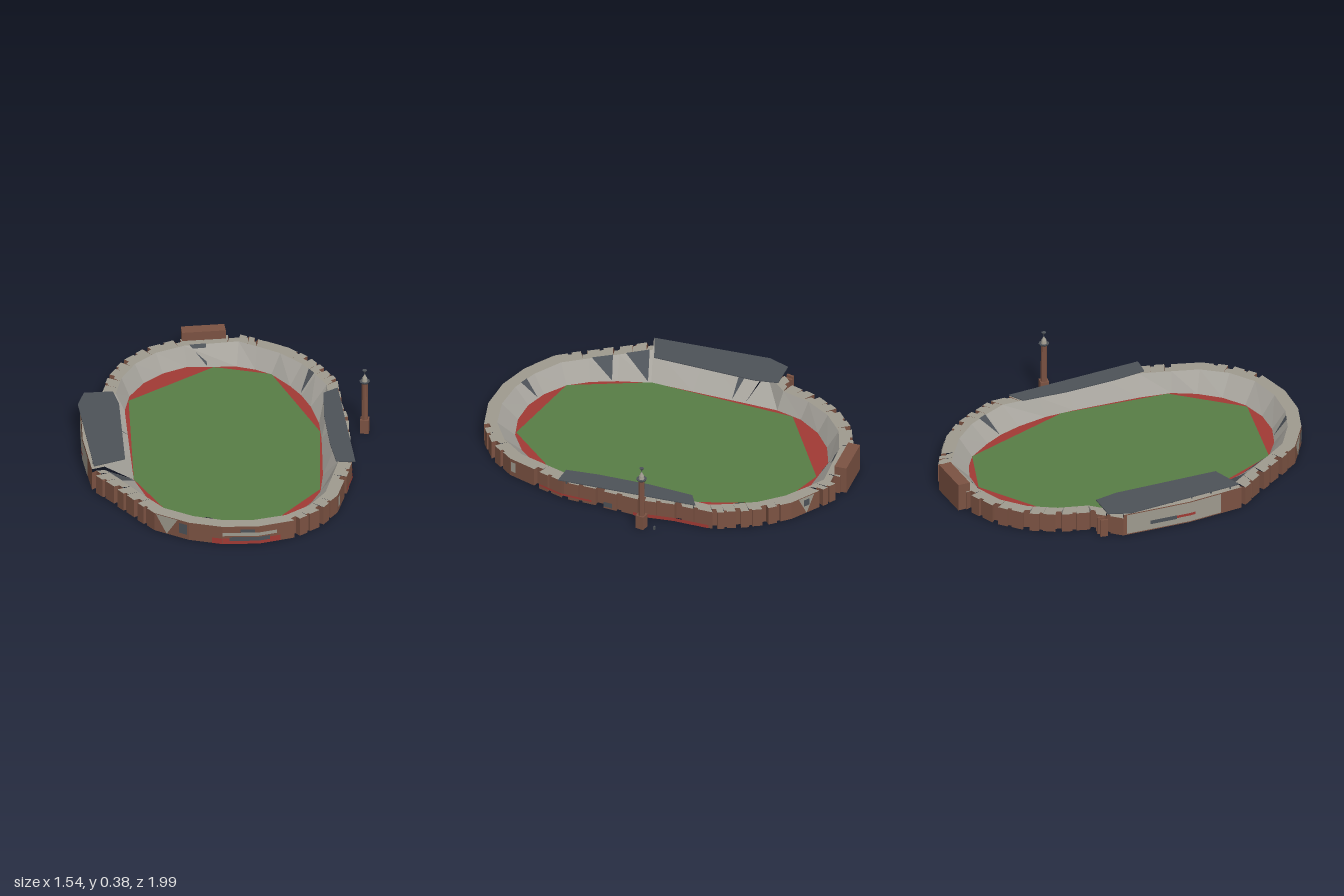
import * as THREE from 'three';

const mat = (name, color) => new THREE.MeshStandardMaterial({ name, color, flatShading: true, side: THREE.DoubleSide });

// matching points around the bowl, clockwise from the back: outer wall and track edge
const OUTER = [[0, -.98], [.1, -.94], [.27, -.87], [.4, -.77], [.49, -.66], [.56, -.56], [.6, -.35], [.66, -.16],
  [.69, .08], [.72, .27], [.7, .45], [.68, .61], [.6, .77], [.48, .89], [.3, .97], [.11, .995], [-.07, .97], [-.26, .89],
  [-.38, .77], [-.5, .64], [-.63, .51], [-.71, .21], [-.76, -.16], [-.66, -.32], [-.64, -.5], [-.58, -.66], [-.47, -.8], [-.31, -.9]];
const TRACK = [[0, -.81], [.1, -.79], [.19, -.75], [.3, -.64], [.37, -.55], [.43, -.44], [.49, -.28], [.52, -.12],
  [.545, .08], [.565, .25], [.57, .42], [.53, .55], [.46, .67], [.36, .77], [.23, .83], [.09, .85], [-.04, .83], [-.17, .77],
  [-.26, .68], [-.34, .56], [-.42, .4], [-.46, .17], [-.51, -.12], [-.54, -.3], [-.53, -.45], [-.47, -.59], [-.38, -.7], [-.26, -.78]];
const PITCH = [[-.12, -.79], [.19, -.75], [.505, -.19], [.565, .4], [.34, .775], [-.17, .77], [-.42, .4], [-.53, -.4]];
const N = OUTER.length;
const PLAIN = [1, 10, 13, 14, 15, 16, 20, 21]; // wall bays without a recess
const TALL = [20, 21]; // bays behind the large stand
const WALL_Y = .105, TALL_Y = .125, TRACK_Y = .008;

const lerp2 = (a, b, t) => [a[0] + (b[0] - a[0]) * t, a[1] + (b[1] - a[1]) * t];
const along = (list, i, t) => lerp2(list[i % N], list[(i + 1) % N], t);
const RIM = OUTER.map((p, i) => {
  const d = Math.hypot(TRACK[i][0] - p[0], TRACK[i][1] - p[1]);
  return lerp2(p, TRACK[i], .072 / d);
});

// point on the wall in bay i, moved outward by off
function wallPoint(i, t, off = 0) {
  const a = OUTER[i % N], b = OUTER[(i + 1) % N];
  const dx = b[0] - a[0], dz = b[1] - a[1], l = Math.hypot(dx, dz);
  const p = lerp2(a, b, t);
  return [p[0] + dz / l * off, p[1] - dx / l * off];
}
const v = (p, y) => [p[0], y, p[1]];

export function createModel() {
  const brick = mat('brick', 0x7b5242);
  const concrete = mat('concrete', 0x9e9a8e);
  const seating = mat('seating grey', 0xa5a29b);
  const slate = mat('slate', 0x4d5258);
  const grass = mat('grass', 0x587d45);
  const red = mat('track red', 0xa03a34);

  const group = new THREE.Group();
  group.name = 'stadium';
  const add = (name, geometry, material, x = 0, y = 0, z = 0) => {
    const m = new THREE.Mesh(geometry, material);
    m.name = name;
    m.position.set(x, y, z);
    group.add(m);
    return m;
  };
  const quad = (out, a, b, c, d) => out.push(...a, ...b, ...c, ...a, ...c, ...d);
  const faces = (name, positions, material) => {
    const g = new THREE.BufferGeometry();
    g.setAttribute('position', new THREE.Float32BufferAttribute(positions, 3));
    g.computeVertexNormals();
    return add(name, g, material);
  };
  const shapeOf = pts => new THREE.Shape(pts.map(p => new THREE.Vector2(...p)));
  const slab = (name, pts, top, depth, material) => add(name,
    new THREE.ExtrudeGeometry(shapeOf(pts), { depth, bevelEnabled: false }).rotateX(Math.PI / 2), material, 0, top, 0);

  // pitch and track
  const trackShape = shapeOf(TRACK);
  trackShape.holes.push(new THREE.Path(PITCH.map(p => new THREE.Vector2(p[0] * .985, p[1] * .985))));
  add('track', new THREE.ShapeGeometry(trackShape).rotateX(Math.PI / 2), red, 0, TRACK_Y, 0);
  add('pitch', new THREE.ShapeGeometry(shapeOf(PITCH)).rotateX(Math.PI / 2), grass, 0, TRACK_Y + .002, 0);

  // outer wall with recesses, walkway on top, sloping stands inside
  const wall = [], walkway = [], stands = [];
  for (let i = 0; i < N; i++) {
    const h = TALL.includes(i) ? TALL_Y : WALL_Y;
    const cuts = PLAIN.includes(i) ? [[0, 1, 0]] : [[0, .38, 0], [.38, .5, -.012], [.5, .8, .004], [.8, 1, -.03]];
    let last = null;
    for (const [t0, t1, off] of cuts) {
      const a = wallPoint(i, t0, off), b = wallPoint(i, t1, off);
      if (last) quad(wall, v(last, 0), v(a, 0), v(a, h), v(last, h));
      quad(wall, v(a, 0), v(b, 0), v(b, h), v(a, h));
      quad(walkway, v(a, h), v(b, h), v(along(RIM, i, t1), h), v(along(RIM, i, t0), h));
      last = b;
    }
    const next = wallPoint(i + 1, 0);
    quad(wall, v(last, 0), v(next, 0), v(next, h), v(last, h));
    quad(stands, v(RIM[i], h), v(RIM[(i + 1) % N], h), v(TRACK[(i + 1) % N], TRACK_Y), v(TRACK[i], TRACK_Y));
  }
  faces('outerWall', wall, brick);
  faces('walkway', walkway, concrete);
  faces('stands', stands, seating);

  // dark stairways on the stands
  const stairs = [];
  for (const [i, t0, t1] of [[3, .5, .9], [15, .3, .6], [18, .1, .8], [19, .2, .9], [27, .1, .4], [21, .6, .75]]) {
    const h = TALL.includes(i) ? TALL_Y : WALL_Y;
    stairs.push(...v(along(RIM, i, t0), h + .004), ...v(along(RIM, i, t1), h + .004), ...v(along(TRACK, i, t1), TRACK_Y + .006));
  }
  faces('stairways', stairs, slate);

  // thin plates on the wall, from bay position u0 to u1; a wedge narrows to a point below
  function panel(name, u0, u1, y0, y1, material, off = .004, wedge = false) {
    const out = [];
    for (let u = u0; u < u1 - 1e-6;) {
      const i = Math.floor(u + 1e-6), end = Math.min(i + 1, u1);
      const a = wallPoint(i, u - i, off), b = wallPoint(i, end - i, off);
      if (wedge) out.push(...v(lerp2(a, b, .5), y0), ...v(b, y1), ...v(a, y1));
      else quad(out, v(a, y0), v(b, y0), v(b, y1), v(a, y1));
      u = end;
    }
    faces(name, out, material);
  }
  panel('frontRedPanel', 13.4, 15.3, .002, .035, red);
  panel('frontGreyBand', 13.5, 15, .05, .07, concrete);
  panel('frontDarkPanel', 13.7, 14.8, .022, .045, slate, .007);
  panel('frontDarkSign', 14.1, 14.5, .07, .09, slate);
  panel('frontWedge', 16.32, 16.95, .002, .104, concrete, .004, true);
  panel('frontDoor', 16.05, 16.28, .03, .09, slate);
  panel('backWedge', 1.2, 1.75, .002, .104, concrete, .004, true);
  panel('backDoor', 1.38, 1.58, .05, .09, slate, .007);
  panel('sideSign', 10.75, 10.95, .03, .09, concrete);
  panel('sideRedBandFront', 8.1, 9.8, .018, .03, red, .006);
  panel('sideRedBandBack', 5.1, 7.1, .002, .022, red, .006);
  panel('sideDoor', 7.6, 7.8, .01, .04, slate, .006);
  panel('mainStandPanel', 20.4, 21.95, .008, .122, concrete);
  panel('mainStandSign', 21.2, 21.6, .04, .062, slate, .007);
  panel('mainStandRedSign', 20.9, 21.2, .045, .06, red, .007);

  // flat roofs over the two side stands, on posts
  slab('mainRoof', [[-.75, -.24], [-.6, -.27], [-.555, -.15], [-.465, .41], [-.62, .5], [-.77, -.12]], .141, .005, slate);
  slab('sideRoof', [[.5, -.4], [.57, -.46], [.74, .28], [.64, .29], [.59, .12], [.53, -.16]], .123, .005, slate);
  for (let k = 0; k <= 5; k++) {
    const m = lerp2([-.74, -.1], [-.63, .45], k / 5), s = lerp2([.565, -.4], [.705, .25], k / 5);
    add('mainRoofPost', new THREE.BoxGeometry(.008, .03, .008), slate, m[0], .122, m[1]);
    add('sideRoofPost', new THREE.BoxGeometry(.008, .03, .008), slate, s[0], .104, s[1]);
  }
  // short fins along the main stand's ends
  for (const [x, z] of [[-.74, -.26], [-.71, -.27], [-.56, .56], [-.53, .58]])
    add('wallFin', new THREE.BoxGeometry(.012, .1, .04), brick, x, .05, z);

  // gatehouse at the back
  slab('gatehouse', [[-.31, -.945], [-.085, -.995], [-.07, -.93], [-.297, -.88]], .155, .155, brick);

  // tower with gallery, lantern and finial
  const tx = .737, tz = -.23;
  const cyl = (name, rt, rb, y0, y1, material) =>
    add(name, new THREE.CylinderGeometry(rt, rb, y1 - y0, 8), material, tx, (y0 + y1) / 2, tz);
  add('towerBase', new THREE.BoxGeometry(.046, .08, .046), brick, tx, .04, tz);
  cyl('towerShaft', .016, .018, .08, .3, brick);
  cyl('towerGallery', .029, .022, .3, .31, slate);
  cyl('towerLantern', .011, .016, .31, .328, concrete);
  cyl('towerSpire', .002, .014, .328, .35, concrete);
  cyl('finialCup', .013, .004, .364, .376, slate);
  cyl('finialRod', .0015, .0015, .35, .366, slate);
  add('bollard', new THREE.BoxGeometry(.01, .02, .01), slate, .722, .01, -.3);

  return group;
}
